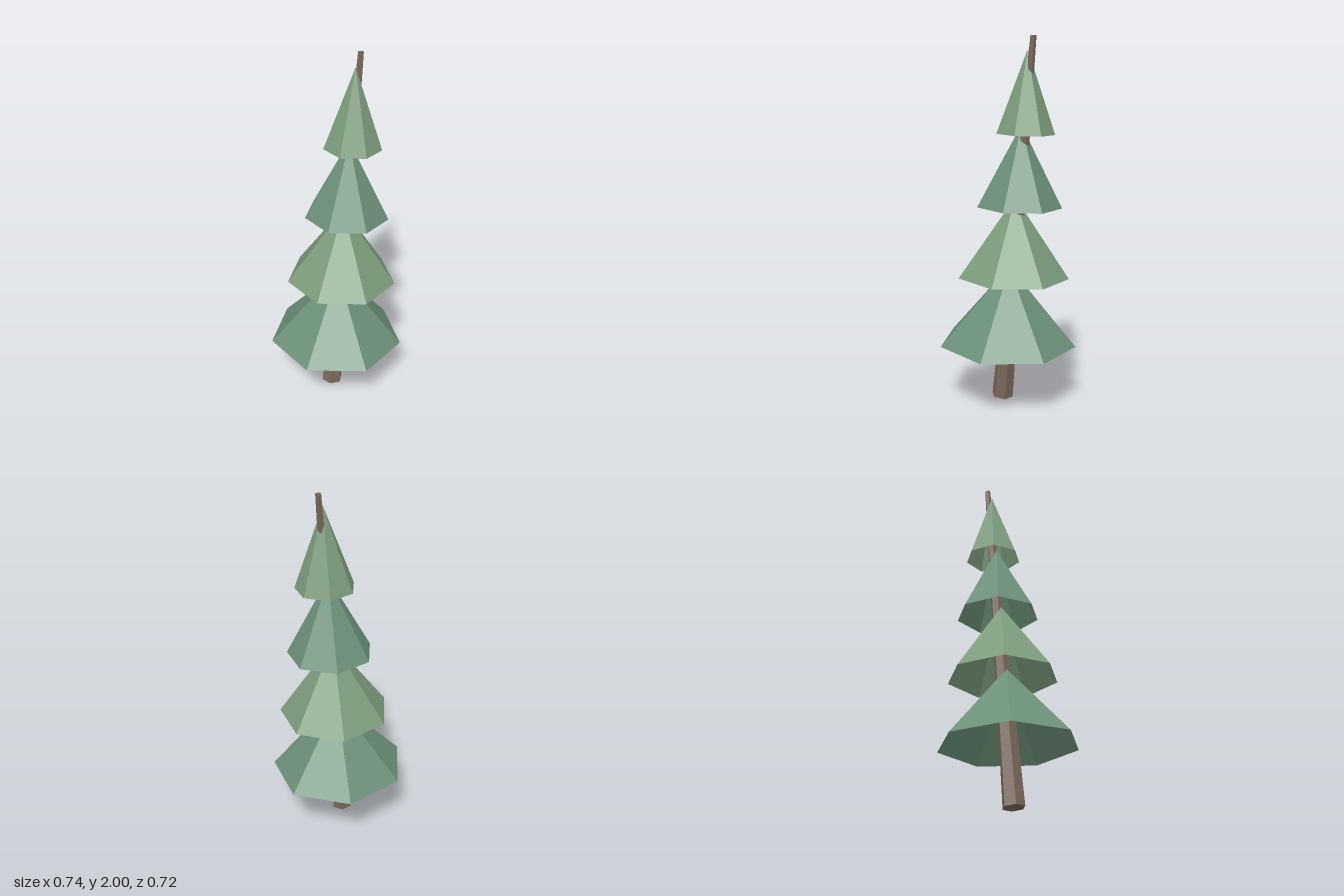
import * as THREE from 'three';

const AXIS_Z = 0.018;

export function createModel() {
  const tree = new THREE.Group();
  tree.name = 'leaningFirTree';

  const mat = (color, side = THREE.FrontSide) =>
    new THREE.MeshStandardMaterial({ color, side, flatShading: true });
  const bark = mat(0x7a6859);
  const greens = [mat(0x6b9078, THREE.DoubleSide), mat(0x7c9c7c, THREE.DoubleSide)];

  // Leaning six-sided trunk, tapering to a bare tip
  const foot = new THREE.Vector3(-0.04, 0.007, AXIS_Z);
  const tip = new THREE.Vector3(0.197, 1.998, AXIS_Z);
  const trunk = new THREE.Mesh(
    new THREE.CylinderGeometry(0.016, 0.06, foot.distanceTo(tip), 6), bark);
  trunk.name = 'trunk';
  trunk.position.copy(foot).lerp(tip, 0.5);
  trunk.rotation.z = -Math.atan2(tip.x - foot.x, tip.y - foot.y);
  tree.add(trunk);

  // Four hollow seven-sided foliage tiers, shrinking and drifting sideways
  const height = 0.435;
  for (let i = 0; i < 4; i++) {
    const geo = new THREE.ConeGeometry(0.381 - 0.0743 * i, height, 7, 1, true, Math.PI);
    geo.translate(0, height / 2, 0); // pivot at the rim
    const tier = new THREE.Mesh(geo, greens[i % 2]);
    tier.name = `foliageTier${i + 1}`;
    tier.position.set(0.046 * i, 0.33 + 0.3885 * i, AXIS_Z);
    tier.rotation.z = -0.04;
    tree.add(tier);
  }
  return tree;
}
